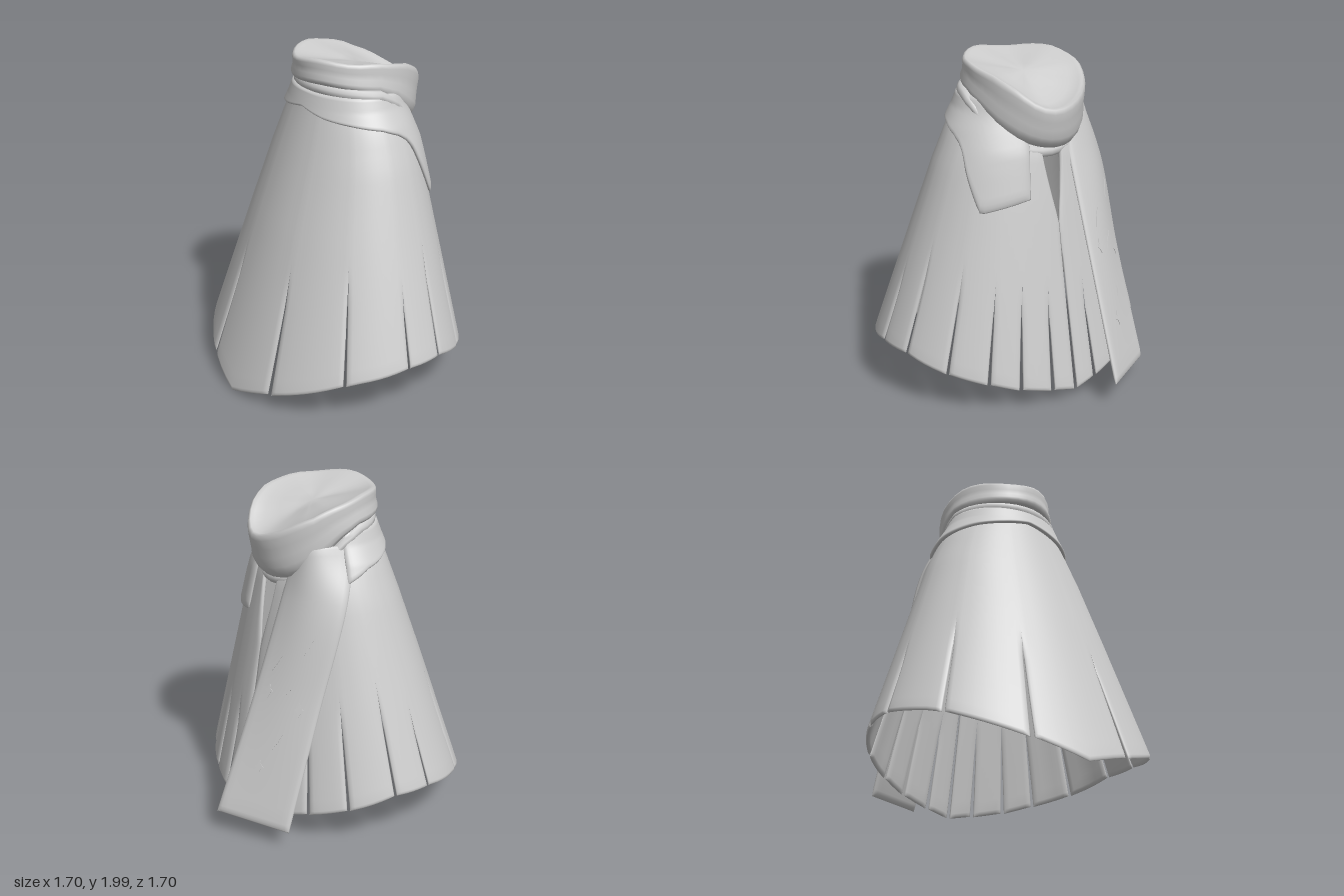
import * as THREE from 'three';
import { mergeVertices } from 'three/addons/utils/BufferGeometryUtils.js';

const RAD = Math.PI / 180;
const lerp = THREE.MathUtils.lerp;

// Piecewise-linear lookup in a list of [key, value] pairs
function at(table, k) {
  for (let i = 1; i < table.length; i++) {
    const [k0, v0] = table[i - 1], [k1, v1] = table[i];
    if (k <= k1) return lerp(v0, v1, Math.max(0, (k - k0) / (k1 - k0)));
  }
  return table[table.length - 1][1];
}

const steps = (n, a = 0, b = 1) => Array.from({ length: n + 1 }, (_, i) => lerp(a, b, i / n));
// Samples from 0 to 1, crowded at both ends for rounded borders
const rounded = (n, e) => [0, e * 0.15, e * 0.5, ...steps(n, e, 1 - e), 1 - e * 0.5, 1 - e * 0.15, 1];
const border = (t, e) => Math.sqrt(Math.min(1, Math.min(t, 1 - t) / e + 1e-9));

// Grid of quads facing outwards (u runs counter-clockwise from above, v runs down)
function sheet(out, P, us, vs, flip = false) {
  for (let i = 0; i + 1 < us.length; i++) {
    for (let j = 0; j + 1 < vs.length; j++) {
      const a = P(us[i], vs[j]), b = P(us[i + 1], vs[j]);
      const c = P(us[i + 1], vs[j + 1]), d = P(us[i], vs[j + 1]);
      for (const p of flip ? [a, c, d, a, b, c] : [a, d, c, a, c, b]) out.push(p.x, p.y, p.z);
    }
  }
}

// Cloth with thickness: P(u, v, offset), half(u, v) is half the thickness
function slab(out, P, us, vs, half) {
  sheet(out, (u, v) => P(u, v, half(u, v)), us, vs);
  sheet(out, (u, v) => P(u, v, -half(u, v)), us, vs, true);
}

function toGeometry(out) {
  const g = new THREE.BufferGeometry();
  g.setAttribute('position', new THREE.Float32BufferAttribute(out, 3));
  const m = mergeVertices(g, 1e-4);
  m.computeVertexNormals();
  return m;
}

// Cloak outline by height: half width, front and back
const WIDTH = [[0, 0.945], [0.33, 0.845], [1, 0.63], [1.4, 0.503], [1.53, 0.45], [1.62, 0.41], [1.72, 0.35], [1.82, 0.31]];
const FRONT = [[0, 0.845], [1, 0.52], [1.7, 0.28], [1.82, 0.24]];
const BACK = [[0, -0.64], [1.2, -0.42], [1.5, -0.36], [1.7, -0.28], [1.82, -0.25]];
function cloakPoint(deg, y, off) {
  const f = at(FRONT, y), b = at(BACK, y), t = deg * RAD;
  return new THREE.Vector3((at(WIDTH, y) + off) * Math.sin(t), y, (f + b) / 2 + ((f - b) / 2 + off) * Math.cos(t));
}

// Hem height by angle, and the slits as [angle, height of tip]
const HEM = [[0, 0.005], [19.5, 0.1], [52, 0.25], [58, 0.27], [83, 0.325], [103, 0.325], [126, 0.25], [144, 0.19], [157, 0.14], [180, 0.07]];
const SLITS = [[19.5, 0.8], [52, 0.88], [83, 0.8], [103, 0.96], [126, 0.86], [144, 0.75], [157, 0.72], [170, 0.7]];

function cloak() {
  const out = [];
  const cuts = [[-180, 9], ...SLITS.map(([a, t]) => [-a, t]).reverse(), ...SLITS, [180, 9]];
  // Half width of a slit in degrees; the back one also opens towards the neck
  const gap = (tip, y) => tip === 9
    ? 0.15 + Math.max(0, 1 - y) * 0.5 + Math.max(0, y - 1.1) * 20
    : Math.max(0, 1 - y / tip) * 0.85;
  for (let i = 0; i + 1 < cuts.length; i++) {
    const [a, tipA] = cuts[i], [b, tipB] = cuts[i + 1];
    const e = Math.min(0.25, 2.5 / (b - a));
    const yAt = (u, v) => lerp(1.8, at(HEM, Math.abs(lerp(a, b, u))), v);
    const P = (u, v, off) => {
      const y = yAt(u, v);
      return cloakPoint(lerp(a + gap(tipA, y), b - gap(tipB, y), u), y, off);
    };
    const half = (u, v) => {
      const open = Math.min(1, gap(u < 0.5 ? tipA : tipB, yAt(u, v)) / 0.2);
      return 0.013 * (1 - (1 - border(u, e)) * open) * border(v, 0.015);
    };
    slab(out, P, rounded(Math.max(2, 2 * Math.round((b - a) / 12)), e), rounded(24, 0.015), half);
  }
  return toGeometry(out);
}

// Shawl round the shoulders, its left end hanging down the back as a short tail
const SHAWL_EDGE = [[-112, 1.52], [-90, 1.59], [-50, 1.645], [-25, 1.67], [0, 1.705], [25, 1.67], [50, 1.65],
  [80, 1.62], [97, 1.58], [106, 1.54], [112, 1.48], [131, 1.18], [133, 1.175], [162, 1.24]];
function shawl() {
  const out = [];
  const P = (u, v, off) => {
    const deg = lerp(-112, 162, u);
    return cloakPoint(deg, lerp(1.8, at(SHAWL_EDGE, deg), v), 0.021 + off);
  };
  slab(out, P, rounded(90, 0.015), rounded(14, 0.08), (u, v) => 0.017 * border(u, 0.015) * border(v, 0.08));
  return toGeometry(out);
}

// Long scarf end: inner and outer edges from shoulder to tip
const curve = points => new THREE.CatmullRomCurve3(points.map(p => new THREE.Vector3(...p)));
const INNER = curve([[-0.13, 1.66, -0.29], [-0.13, 1.42, -0.375], [-0.13, 0.8, -0.6], [-0.12, 0.15, -0.85]]);
const OUTER = curve([[-0.35, 1.71, -0.03], [-0.48, 1.42, -0.17], [-0.5, 0.8, -0.38], [-0.53, 0.12, -0.615]]);
const TAIL_NORMAL = new THREE.Vector3(-0.46, 0.33, -0.83).normalize();
function tailPoint(u, v, off) {
  const p = INNER.getPoint(v).lerp(OUTER.getPoint(v), u);
  return p.addScaledVector(TAIL_NORMAL, off + 0.12 * Math.sin(Math.PI * u) * (1 - v) ** 1.5);
}
function longTail() {
  const out = [];
  slab(out, tailPoint, rounded(12, 0.06), rounded(24, 0.02), (u, v) => 0.016 * border(u, 0.06) * border(v, 0.02));
  return toGeometry(out);
}

// Thin four-point star; a narrow one makes a slash
function starGeometry(w, h, waist) {
  const s = new THREE.Shape();
  for (let i = 0; i < 8; i++) {
    const k = i % 2 ? waist : 1, t = i * Math.PI / 4;
    const x = w * k * Math.cos(t), y = h * k * Math.sin(t);
    if (i) s.lineTo(x, y); else s.moveTo(x, y);
  }
  return new THREE.ExtrudeGeometry(s, { depth: 0.003, bevelEnabled: false });
}

// Heights of the collar's rim and lower edge, from back (-1) to front (1)
const RIM = [[-1, 1.765], [-0.7, 1.87], [-0.3, 1.94], [0.3, 1.98], [1, 1.985]];
const LOWER = [[-1, 1.51], [-0.8, 1.56], [-0.5, 1.65], [-0.2, 1.75], [0.15, 1.815], [1, 1.845]];
// Collar section as [scale, height from rim (0) to lower edge (1)]
const COLLAR = [[0, 0], [0.25, 0.08], [0.5, 0.1], [0.72, 0.09], [0.88, 0.04], [0.94, 0], [0.975, 0.04], [0.99, 0.15],
  [0.985, 0.35], [0.995, 0.55], [1.025, 0.75], [1.02, 0.88], [0.99, 0.98], [0.94, 1.01], [0.8, 0.95]];
function collar() {
  const out = [];
  const P = (deg, row) => {
    const t = deg * RAD, c = Math.cos(t), [s, k] = COLLAR[row];
    const rim = at(RIM, c) + 0.014 * Math.sin(4 * t) * Math.abs(c);
    const low = at(LOWER, c) + 0.008 * Math.sin(3 * t);
    // The cap dips gently towards one height in the middle
    const y = lerp(1.9, lerp(rim, low, k), Math.min(1, s / 0.85));
    const fall = Math.max(0, k) ** 2;
    return new THREE.Vector3(0.343 * s * Math.sin(t) - 0.012, y, lerp(-0.085, -0.055, fall) + lerp(0.39, 0.345, fall) * s * c);
  };
  sheet(out, P, steps(36, 0, 360), COLLAR.map((_, i) => i));
  return toGeometry(out);
}

// Rolled fold under the collar
function fold() {
  const out = [];
  const P = (deg, a) => {
    const t = deg * RAD, c = Math.cos(t), r = 0.036 * Math.sin(a);
    return new THREE.Vector3((0.337 + r) * Math.sin(t), at(LOWER, c) - 0.025 + 0.036 * Math.cos(a), -0.05 + (0.295 + r) * c);
  };
  sheet(out, P, steps(36, 0, 360), steps(10, 0, 2 * Math.PI));
  return toGeometry(out);
}

export function createModel() {
  const group = new THREE.Group();
  const cloth = new THREE.MeshStandardMaterial({ color: 0xcccccc });
  cloth.name = 'paleGreyCloth';
  const add = (name, geometry) => {
    const mesh = new THREE.Mesh(geometry, cloth);
    mesh.name = name;
    group.add(mesh);
    return mesh;
  };
  add('cloak', cloak());
  add('shawl', shawl());
  add('collarFold', fold());
  add('collar', collar());
  add('longScarfEnd', longTail());

  // Small stitched stars and slashes on the long scarf end
  const star = starGeometry(0.028, 0.045, 0.5), slash = starGeometry(0.004, 0.06, 0.7);
  const marks = [[0.4, 0.84, 0], [0.74, 0.66, 0], [0.24, 0.62, 0],
    [0.56, 0.76, -0.5], [0.5, 0.62, -0.8], [0.26, 0.54, -0.5], [0.66, 0.48, -0.5]];
  marks.forEach(([u, v, turn], i) => {
    const p = tailPoint(u, v, 0.0165);
    const du = tailPoint(u + 0.02, v, 0.0165).sub(p), dv = tailPoint(u, v + 0.02, 0.0165).sub(p);
    const n = dv.cross(du).normalize();
    const mark = add(i < 3 ? 'scarfStar' : 'scarfSlash', i < 3 ? star : slash);
    mark.position.copy(p);
    mark.lookAt(p.clone().add(n));
    mark.rotateZ(turn);
  });
  return group;
}
